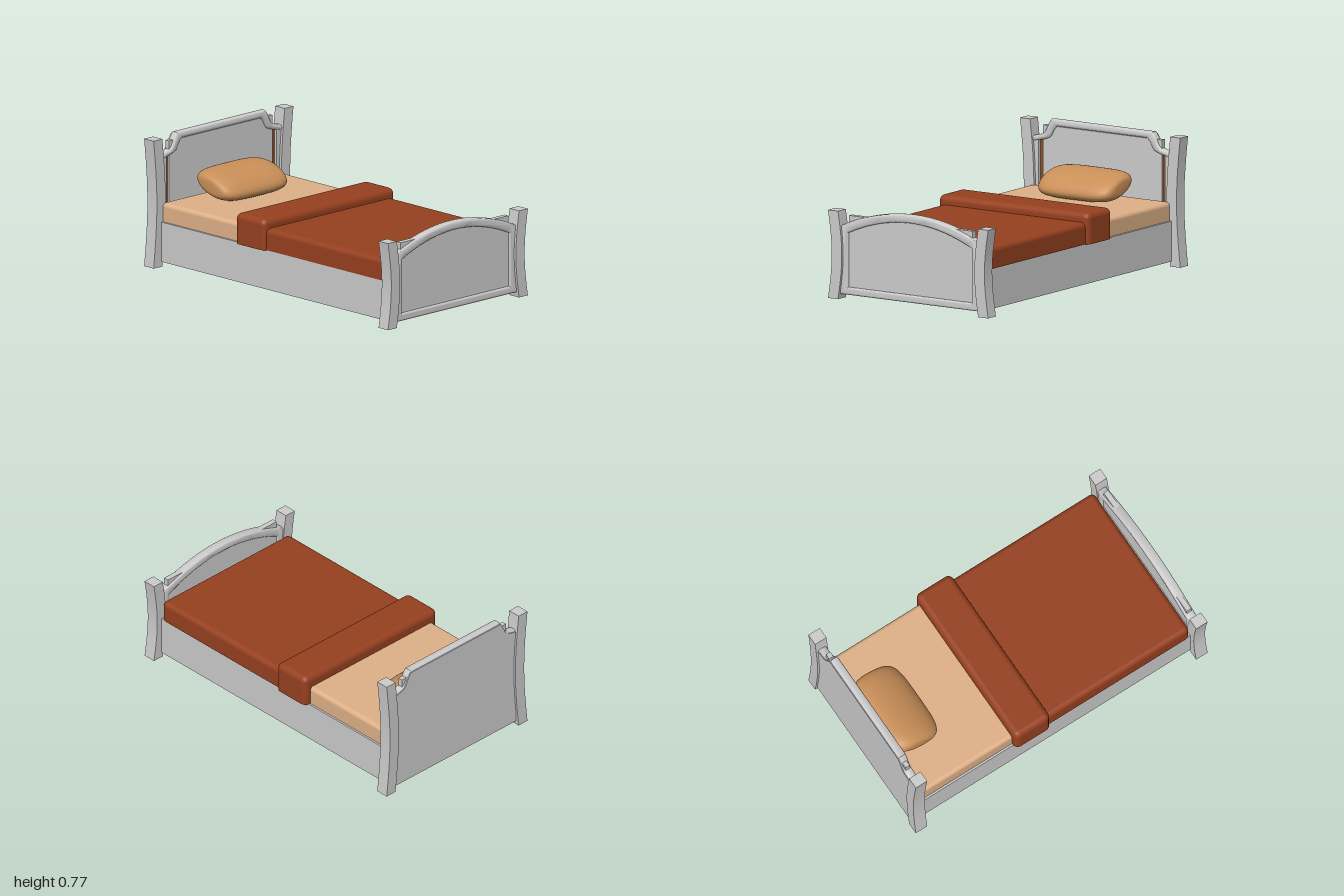
import * as THREE from 'three';
import { toCreasedNormals } from 'three/addons/utils/BufferGeometryUtils.js';
import { RoundedBoxGeometry } from 'three/addons/geometries/RoundedBoxGeometry.js';

const mat = (color) => new THREE.MeshStandardMaterial({ color });

export function createModel() {
  const bed = new THREE.Group();
  const grey = mat(0xcccccc);
  const brown = mat(0x8a4a20);
  const red = mat(0x96401f);
  const sheet = mat(0xdeb088);
  const pillowTan = mat(0xc98f58);

  const add = (name, geometry, material) => {
    const mesh = new THREE.Mesh(geometry, material);
    mesh.name = name;
    bed.add(mesh);
    return mesh;
  };

  // Box given by its lower and upper corners
  const block = (name, [x0, y0, z0], [x1, y1, z1], material) => {
    const g = new THREE.BoxGeometry(x1 - x0, y1 - y0, z1 - z0);
    g.translate((x0 + x1) / 2, (y0 + y1) / 2, (z0 + z1) / 2);
    return add(name, g, material);
  };

  // Flat outline extruded from z0 to z1 with rounded edges
  const board = (name, shape, z0, z1, bevel, material) => {
    const g = new THREE.ExtrudeGeometry(shape, {
      depth: z1 - z0 - 2 * bevel, curveSegments: 24,
      bevelEnabled: bevel > 0, bevelThickness: bevel, bevelSize: bevel,
      bevelOffset: -bevel, bevelSegments: 4,
    });
    g.translate(0, 0, z0 + bevel);
    return add(name, toCreasedNormals(g, 0.6), material);
  };

  // Soft box, rounded everywhere but cut flat at its lower edge
  const softBox = (name, halfX, [y0, y1], [z0, z1], radius, material) => {
    const h = y1 - y0 + radius;
    const g = new RoundedBoxGeometry(halfX * 2, h, z1 - z0, 5, radius);
    g.translate(0, y1 - h / 2, (z0 + z1) / 2);
    const p = g.attributes.position;
    for (let i = 0; i < p.count; i++) p.setY(i, Math.max(p.getY(i), y0));
    return add(name, g, material);
  };

  // Corner posts, bowed inwards at mid height
  const post = (name, side, height, z) => {
    const g = new THREE.BoxGeometry(0.07, height, 0.078, 1, 16, 1);
    const p = g.attributes.position;
    for (let i = 0; i < p.count; i++) {
      const t = p.getY(i) / height + 0.5;
      p.setX(i, p.getX(i) + side * (0.524 - 0.026 * Math.sin(Math.PI * t)));
    }
    g.translate(0, height / 2, z);
    add(name, toCreasedNormals(g, 0.6), grey);
  };
  for (const [label, side] of [['left', 1], ['right', -1]]) {
    post(label + 'FootPost', side, 0.513, 0.961);
    post(label + 'HeadPost', side, 0.755, -0.961);
  }

  // Base with side rails
  block('base', [-0.498, 0.03, -0.95], [0.498, 0.265, 0.94], grey);

  // Footboard: arched frame around a recessed panel
  const arch = (path, x, y0, y1, crown) => {
    path.moveTo(-x, y0);
    path.lineTo(x, y0);
    path.lineTo(x, y1);
    path.quadraticCurveTo(0, 2 * crown - y1, -x, y1);
    path.closePath();
    return path;
  };
  const footFrame = arch(new THREE.Shape(), 0.49, 0.028, 0.425, 0.537);
  footFrame.holes.push(arch(new THREE.Path(), 0.43, 0.073, 0.39, 0.49));
  board('footboardFrame', footFrame, 0.93, 0.986, 0.012, grey);
  block('footboardPanel', [-0.432, 0.06, 0.94], [0.432, 0.49, 0.972], grey);

  // Headboard: stepped rail, side stiles, backing and panel
  const top = [[0.49, 0.655], [0.44, 0.667], [0.415, 0.675], [0.398, 0.69],
    [0.385, 0.715], [0.372, 0.742], [0.355, 0.766]];
  const under = [[0.314, 0.726], [0.335, 0.705], [0.35, 0.675], [0.363, 0.658],
    [0.395, 0.645], [0.44, 0.634], [0.49, 0.62]];
  const mirrored = (pts) => pts.map(([x, y]) => [-x, y]).reverse();
  const outline = (pts) => new THREE.Shape(pts.map(([x, y]) => new THREE.Vector2(x, y)));

  board('headboardRail', outline([...top, ...mirrored(top), ...mirrored(under), ...under]),
    -0.985, -0.933, 0.016, grey);
  const lowered = top.map(([x, y]) => [x, y - 0.012]);
  board('headboardBack', outline([[0.48, 0.03], ...lowered, ...mirrored(lowered), [-0.48, 0.03]]),
    -0.988, -0.965, 0, grey);
  block('headboardInlay', [-0.442, 0.2, -0.966], [0.442, 0.64, -0.957], brown);
  block('headboardInlayTop', [-0.34, 0.6, -0.966], [0.34, 0.74, -0.957], brown);
  block('headboardPanel', [-0.414, 0.2, -0.975], [0.414, 0.725, -0.946], grey);
  for (const s of [-1, 1]) {
    const x = [s * 0.44, s * 0.49].sort((a, b) => a - b);
    block('headboardStile', [x[0], 0.03, -0.98], [x[1], 0.645, -0.938], grey);
  }

  // Bedding
  softBox('mattress', 0.486, [0.25, 0.375], [-0.938, 0.85], 0.025, sheet);
  softBox('blanket', 0.503, [0.264, 0.39], [-0.15, 0.916], 0.03, red);
  softBox('blanketFold', 0.526, [0.264, 0.445], [-0.293, -0.05], 0.035, red);

  // Pillow: squared-off ellipsoid, propped up towards the headboard
  const profile = [];
  for (let i = 0; i <= 28; i++) {
    const a = (i / 28) * Math.PI - Math.PI / 2;
    const s = Math.sin(a);
    profile.push(new THREE.Vector2(
      Math.pow(Math.max(Math.cos(a), 0), 0.42), Math.sign(s) * Math.pow(Math.abs(s), 0.5)));
  }
  const pillow = new THREE.LatheGeometry(profile, 40);
  pillow.rotateZ(Math.PI / 2);
  pillow.scale(0.26, 0.07, 0.165);
  pillow.rotateX(0.3);
  pillow.translate(0, 0.456, -0.77);
  add('pillow', pillow, pillowTan);

  return bed;
}
